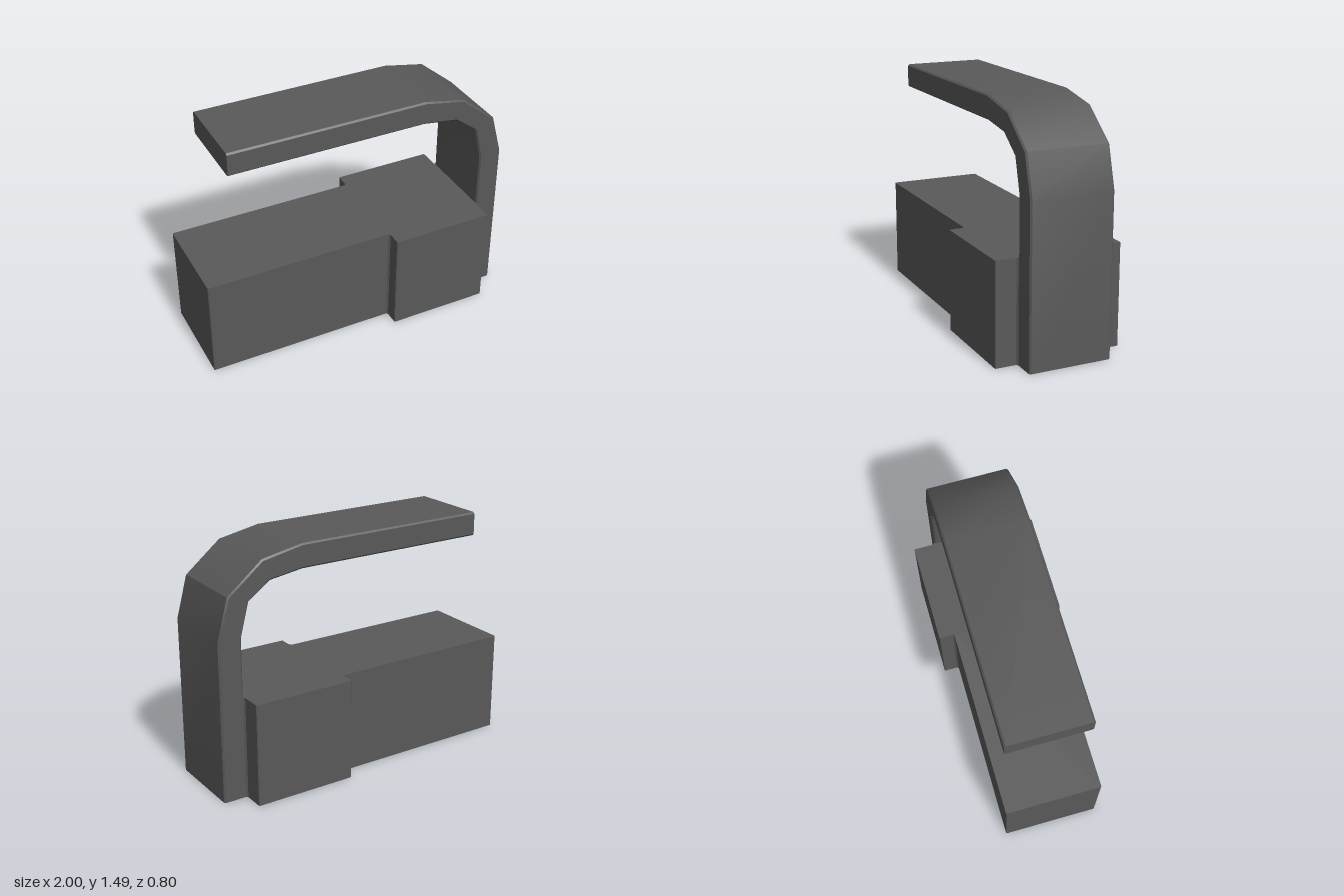
import * as THREE from 'three';
import { toCreasedNormals } from 'three/addons/utils/BufferGeometryUtils.js';

const material = new THREE.MeshStandardMaterial({ color: 0x595959 });

// Block: mirrored plan outline with a wider rear section, extruded upwards
function createBase() {
  const half = [
    [-1, 0.297], [-0.995, 0.302], [0.19, 0.302], [0.2, 0.312], [0.2, 0.395], [0.205, 0.4],
    [0.843, 0.4], [0.848, 0.395], [0.848, 0.27], [0.858, 0.26], [0.865, 0.26],
  ];
  const outline = [...half, ...half.map(([x, z]) => [x, -z]).reverse()];
  const shape = new THREE.Shape(outline.map(([x, z]) => new THREE.Vector2(x, z)));
  const geometry = new THREE.ExtrudeGeometry(shape, { depth: 0.64, bevelEnabled: false });
  geometry.rotateX(-Math.PI / 2);
  const mesh = new THREE.Mesh(geometry, material);
  mesh.name = 'baseBlock';
  return mesh;
}

// Arm: chamfered rectangular section swept up the post, round the bend and along the top
function createArm() {
  const outer = [[1, 0], [1, 1], [0.93, 1.255], [0.705, 1.437], [0.44, 1.488], [-0.815, 1.488]];
  const inner = [[0.852, 0], [0.852, 1], [0.798, 1.205], [0.658, 1.307], [0.44, 1.339], [-0.815, 1.339]];
  const halfWidth = 0.26, chamfer = 0.01;

  const rings = outer.map((p, j) => {
    const o = new THREE.Vector3(p[0], p[1], 0);
    const i = new THREE.Vector3(inner[j][0], inner[j][1], 0);
    const d = o.clone().sub(i).setLength(chamfer);
    const oSide = o.clone().sub(d), iSide = i.clone().add(d);
    const n = halfWidth - chamfer, w = halfWidth;
    return [[o, n], [o, -n], [oSide, -w], [iSide, -w], [i, -n], [i, n], [iSide, w], [oSide, w]]
      .map(([v, z]) => [v.x, v.y, z]);
  });

  const positions = [];
  const triangle = (a, b, c) => positions.push(...a, ...b, ...c);
  for (let j = 0; j < rings.length - 1; j++) {
    for (let k = 0; k < 8; k++) {
      const m = (k + 1) % 8;
      triangle(rings[j][k], rings[j][m], rings[j + 1][m]);
      triangle(rings[j][k], rings[j + 1][m], rings[j + 1][k]);
    }
  }
  // End caps
  const first = rings[0], last = rings[rings.length - 1];
  for (let k = 1; k < 7; k++) {
    triangle(first[0], first[k + 1], first[k]);
    triangle(last[0], last[k], last[k + 1]);
  }

  const geometry = new THREE.BufferGeometry();
  geometry.setAttribute('position', new THREE.Float32BufferAttribute(positions, 3));
  const mesh = new THREE.Mesh(toCreasedNormals(geometry, Math.PI / 6), material);
  mesh.name = 'curvedArm';
  return mesh;
}

export function createModel() {
  const group = new THREE.Group();
  group.name = 'blockWithOverhangingArm';
  group.add(createBase(), createArm());
  return group;
}
